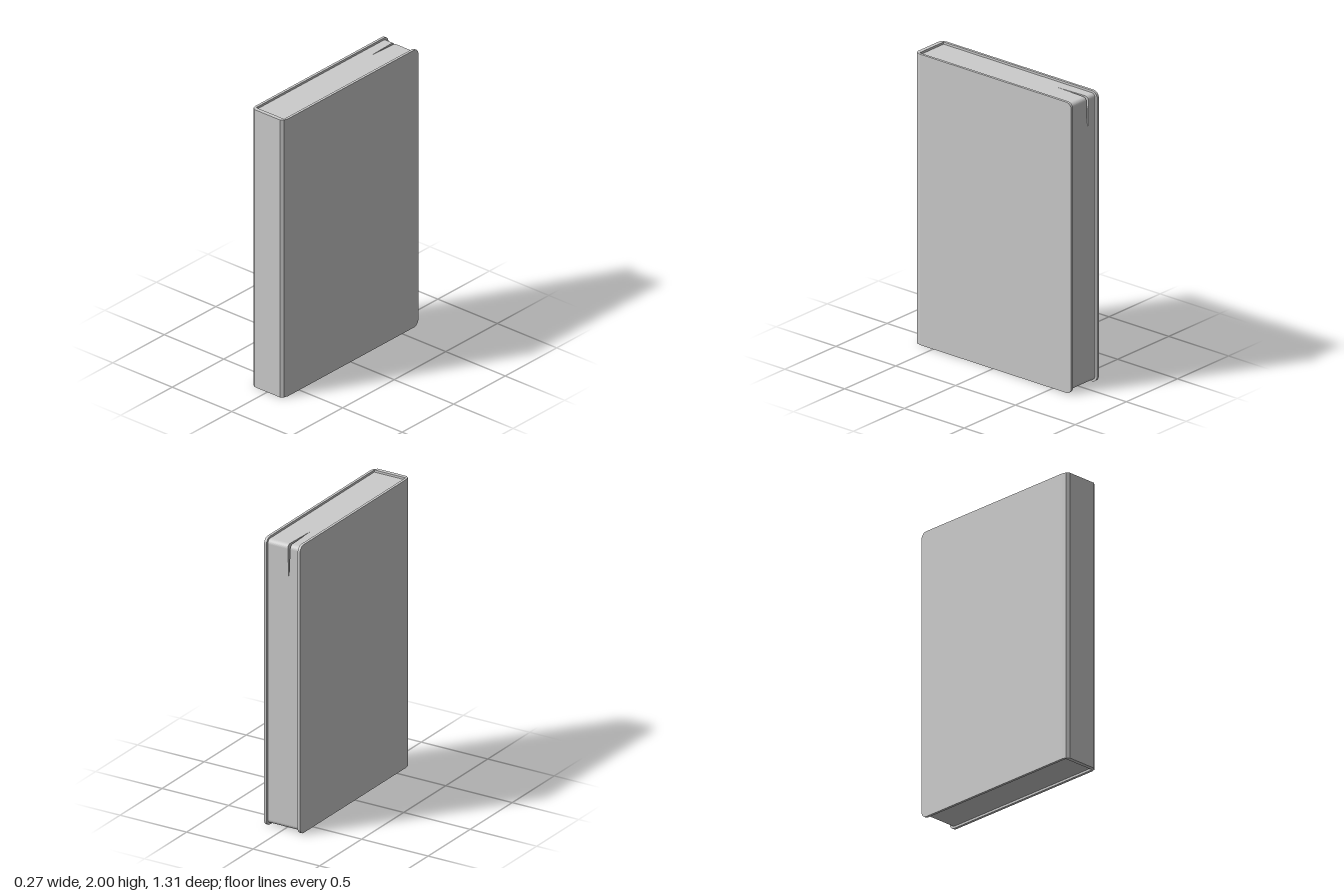
import * as THREE from 'three';

const HALF_W = 0.135, BOARD = 0.018, BACK = 0.655, JOINT = 0.6;
const PAGE_X = HALF_W - BOARD, PAGE_BACK = 0.64, PAGE_FRONT = 0.627;
const PAGE_LOW = 0.015, PAGE_TOP = 1.985;
const SPLIT_X = -0.042, SPLIT = 0.25, GAP = 0.01;

// Side outlines use (u, y) with u = -z, so the fore-edge is at +u
function sideExtrude(shape, x0, x1) {
  return new THREE.ExtrudeGeometry(shape, { depth: x1 - x0, bevelEnabled: false, curveSegments: 6 })
    .rotateY(Math.PI / 2)
    .translate(x0, 0, 0);
}

function boardShape(u0, u1, y0, y1, r) {
  const s = new THREE.Shape();
  s.moveTo(u0, y0);
  s.lineTo(u1 - r, y0);
  s.absarc(u1 - r, y0 + r, r, -Math.PI / 2, 0, false);
  s.lineTo(u1, y1 - r);
  s.absarc(u1 - r, y1 - r, r, 0, Math.PI / 2, false);
  s.lineTo(u0, y1);
  s.closePath();
  return s;
}

export function createModel() {
  const book = new THREE.Group();
  book.name = 'book';
  const material = new THREE.MeshStandardMaterial({ color: 0xcccccc });
  const add = (name, geometry, parent = book) => {
    const mesh = new THREE.Mesh(geometry, material);
    mesh.name = name;
    parent.add(mesh);
  };

  // Cover boards with rounded fore-edge corners
  const cover = boardShape(-JOINT, BACK, 0, 2, 0.042);
  add('leftCover', sideExtrude(cover, PAGE_X, HALF_W));
  add('rightCover', sideExtrude(cover, -HALF_W, -PAGE_X));

  // Spine: a shallow channel with softened corners, in (x, -z)
  const half = [[PAGE_X, -PAGE_FRONT], [PAGE_X, -JOINT], [HALF_W, -JOINT],
    [HALF_W, -0.61], [0.127, -0.64], [0.107, -BACK]];
  const outline = [...half, ...half.map(([x, v]) => [-x, v]).reverse()];
  const spine = new THREE.Shape(outline.map(([x, v]) => new THREE.Vector2(x, v)));
  add('spine', new THREE.ExtrudeGeometry(spine, { depth: 2, bevelEnabled: false }).rotateX(-Math.PI / 2));

  // Page block, with its upper fore-edge corner cut off diagonally
  const pages = new THREE.Group();
  pages.name = 'pages';
  book.add(pages);
  const r = 0.03;
  const body = new THREE.Shape();
  body.moveTo(-PAGE_FRONT, PAGE_LOW);
  body.lineTo(PAGE_BACK - r, PAGE_LOW);
  body.absarc(PAGE_BACK - r, PAGE_LOW + r, r, -Math.PI / 2, 0, false);
  body.lineTo(PAGE_BACK, PAGE_TOP - SPLIT);
  body.lineTo(PAGE_BACK - SPLIT, PAGE_TOP);
  body.lineTo(-PAGE_FRONT, PAGE_TOP);
  body.closePath();
  add('pageBlock', sideExtrude(body, -PAGE_X, PAGE_X), pages);

  // The cut corner is filled by two pieces that part in a thin wedge
  const corner = new THREE.Shape();
  corner.moveTo(PAGE_BACK - SPLIT, PAGE_TOP);
  corner.lineTo(PAGE_BACK, PAGE_TOP - SPLIT);
  corner.lineTo(PAGE_BACK, PAGE_TOP - r);
  corner.absarc(PAGE_BACK - r, PAGE_TOP - r, r, 0, Math.PI / 2, false);
  corner.closePath();
  const pageCorner = (name, x0, x1, dir) => {
    const g = sideExtrude(corner, x0, x1);
    const p = g.attributes.position;
    for (let i = 0; i < p.count; i++) {
      if (Math.abs(p.getX(i) - SPLIT_X) > 1e-4) continue;
      const open = 1 - (PAGE_BACK + p.getZ(i) + PAGE_TOP - p.getY(i)) / SPLIT;
      p.setX(i, SPLIT_X + dir * GAP * open);
    }
    g.computeVertexNormals();
    add(name, g, pages);
  };
  pageCorner('rightPageCorner', -PAGE_X, SPLIT_X, -1);
  pageCorner('leftPageCorner', SPLIT_X, PAGE_X, 1);

  return book;
}
